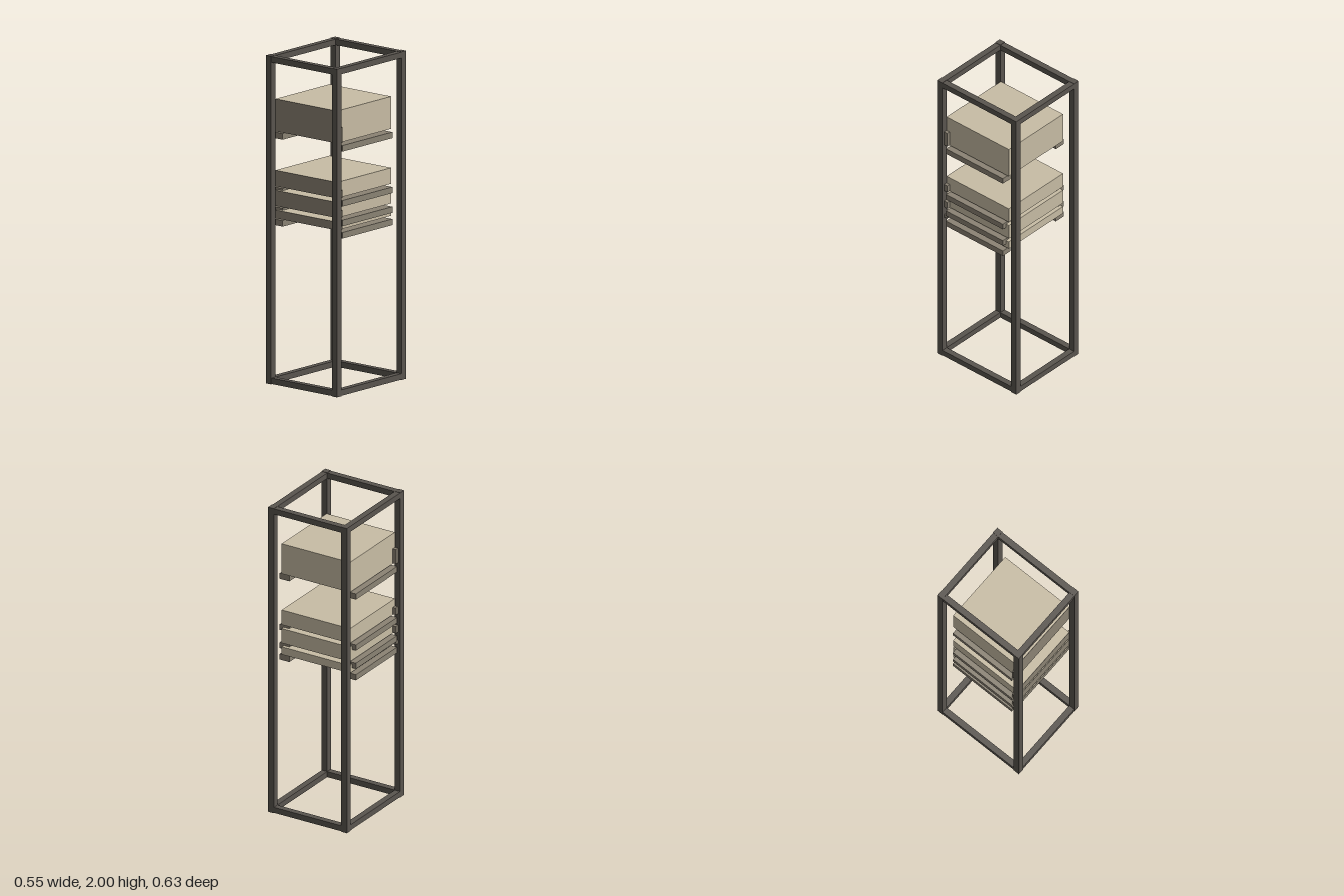
import * as THREE from 'three';

export function createModel() {
  const model = new THREE.Group();
  model.name = 'equipmentRack';

  const mat = (name, color) => {
    const m = new THREE.MeshStandardMaterial({ color });
    m.name = name;
    return m;
  };
  const frameMat = mat('dark frame metal', 0x5a554f);
  const trimMat = mat('taupe trim', 0x8b8374);
  const caseMat = mat('beige casing', 0xc8bda5);

  // Box given by its minimum and maximum corners
  const box = (parent, name, material, [x0, y0, z0], [x1, y1, z1]) => {
    const mesh = new THREE.Mesh(new THREE.BoxGeometry(x1 - x0, y1 - y0, z1 - z0), material);
    mesh.position.set((x0 + x1) / 2, (y0 + y1) / 2, (z0 + z1) / 2);
    mesh.name = name;
    parent.add(mesh);
  };
  // The same box on both sides of x = 0
  const pair = (parent, name, material, [x0, y0, z0], [x1, y1, z1]) => {
    box(parent, name + 'Left', material, [x0, y0, z0], [x1, y1, z1]);
    box(parent, name + 'Right', material, [-x1, y0, z0], [-x0, y1, z1]);
  };

  const X = 0.277, Z = 0.314, T = 0.04, inset = 0.002;
  const frame = new THREE.Group();
  frame.name = 'frame';
  model.add(frame);

  // Four corner posts
  pair(frame, 'frontPost', frameMat, [X - T, 0, Z - T], [X, 2, Z]);
  pair(frame, 'backPost', frameMat, [X - T, 0, -Z], [X, 2, T - Z]);

  // Top and bottom rings of beams, slightly inset from the posts
  for (const [level, y] of [['bottom', inset], ['top', 2 - T + inset]]) {
    const yTop = y + T - 2 * inset;
    pair(frame, level + 'SideBeam', frameMat, [X - T, y, T - Z], [X - inset, yTop, Z - T]);
    box(frame, level + 'FrontBeam', frameMat, [T - X, y, Z - T], [X - T, yTop, Z - inset]);
    box(frame, level + 'BackBeam', frameMat, [T - X, y, inset - Z], [X - T, yTop, T - Z]);
  }

  // Mounted units: casing, front panel, half-height ears, support rails below
  const units = [[1.005, 1.055], [1.08, 1.175], [1.2, 1.297], [1.535, 1.732]];
  units.forEach(([y0, y1], i) => {
    const unit = new THREE.Group();
    unit.name = 'unit' + (i + 1);
    model.add(unit);
    const w = 0.24, front = 0.272;
    box(unit, 'casing', caseMat, [-w, y0, -0.222], [w, y1, front - 0.003]);
    box(unit, 'frontPanel', trimMat, [-w, y0, front - 0.003], [w, y1, front]);
    pair(unit, 'mountingEar', trimMat, [w, y0 + 0.003, 0.248], [0.262, (y0 + y1) / 2, front]);
    pair(unit, 'supportRail', trimMat, [0.2, y0 - 0.049, -0.2], [0.268, y0 - 0.012, 0.252]);
  });

  return model;
}
